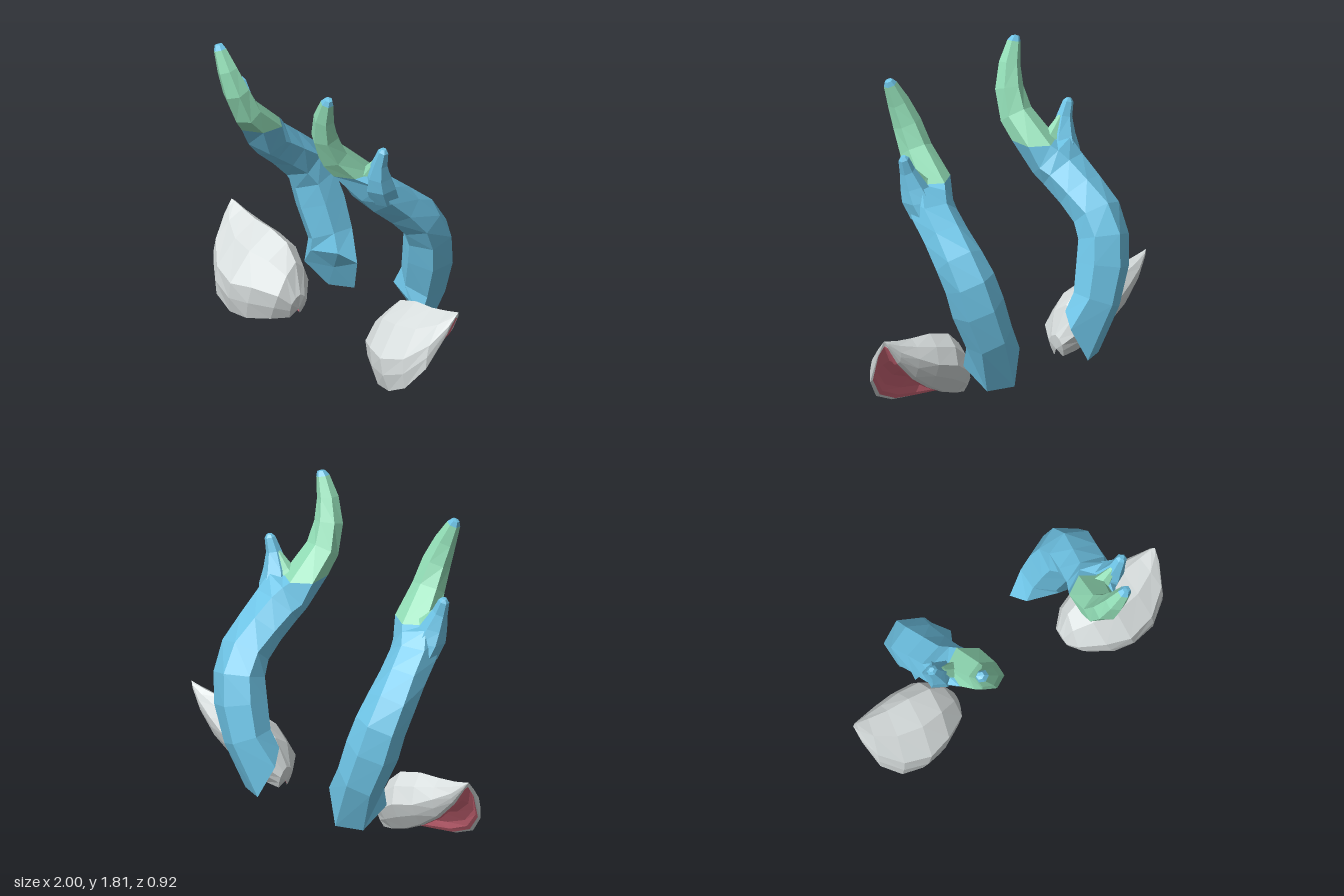
import * as THREE from 'three';

const material = (name, color) => Object.assign(new THREE.MeshStandardMaterial({ color }), { name });
const points = (list) => list.map(p => new THREE.Vector3(...p));

// Flat-shaded skin over a list of equally long cross-sections; side -1 mirrors it across x = 0
function loft(sections, side, closed) {
  const out = [];
  const tri = (a, b, c) => {
    const area = b.clone().sub(a).cross(c.clone().sub(a)).length();
    if (area < 1e-7) return;
    for (const p of side > 0 ? [a, b, c] : [a, c, b]) out.push(p.x * side, p.y, p.z);
  };
  for (let s = 0; s < sections.length - 1; s++) {
    const A = sections[s], B = sections[s + 1], n = A.length;
    for (let i = 0; i < (closed ? n : n - 1); i++) {
      const j = (i + 1) % n;
      tri(A[i], A[j], B[i]);
      tri(A[j], B[j], B[i]);
    }
  }
  const geo = new THREE.BufferGeometry();
  geo.setAttribute('position', new THREE.Float32BufferAttribute(out, 3));
  geo.computeVertexNormals();
  return geo;
}

// Six-sided rings along a path of { p: centre, r: radius, n: optional ring normal, deep: optional stretch }
function rings(path) {
  const centres = path.map(k => new THREE.Vector3(...k.p));
  return path.map((k, i) => {
    const n = k.n ? new THREE.Vector3(...k.n)
      : centres[Math.min(i + 1, path.length - 1)].clone().sub(centres[Math.max(i - 1, 0)]);
    n.normalize();
    const v = new THREE.Vector3(0, 0, -1).addScaledVector(n, n.z).normalize();
    const u = v.clone().cross(n);
    return Array.from({ length: 6 }, (_, j) => {
      const a = (j + 0.5) * Math.PI / 3;
      return centres[i].clone()
        .addScaledVector(u, Math.cos(a) * k.r * 1.12)
        .addScaledVector(v, Math.sin(a) * k.r * (k.deep || 1));
    });
  });
}

const at = (x, y, z, r, n, deep) => ({ p: [x, y, z], r, n, deep });

// Horn base: a slanted, uneven six-cornered end, closed by a cap
const baseLoop = points([
  [0.425, 0.125, -0.33], [0.28, 0.135, -0.4], [0.195, 0.33, -0.35],
  [0.245, 0.4, -0.25], [0.43, 0.37, -0.205], [0.51, 0.27, -0.225],
]);
const baseCap = Array(6).fill(new THREE.Vector3(0.34, 0.27, -0.3));

// Horn: blue stem, green upper prong, blue tip
const collar = at(0.405, 1.27, 0.18, 0.11, [0, 1, 0], 1.24);
const tipRing = at(0.472, 1.775, 0.42, 0.036, [0.3, 0.9, 0.1]);
const stemPath = [
  at(0.41, 0.45, -0.33, 0.13, [0.42, 0.9, 0]),
  at(0.475, 0.64, -0.31, 0.142),
  at(0.51, 0.79, -0.28, 0.136),
  at(0.525, 0.91, -0.205, 0.132, undefined, 0.95),
  at(0.51, 1.015, -0.085, 0.128, undefined, 0.9),
  at(0.49, 1.11, 0.035, 0.132, undefined, 0.86),
  at(0.465, 1.18, 0.1, 0.138, undefined, 0.84),
  collar,
];
const prongPath = [
  collar,
  at(0.382, 1.39, 0.305, 0.09, undefined, 0.92),
  at(0.39, 1.53, 0.37, 0.076),
  at(0.425, 1.66, 0.405, 0.058),
  tipRing,
];
const tipPath = [tipRing, at(0.485, 1.802, 0.42, 0.022, [0.3, 0.9, 0.1]), at(0.487, 1.806, 0.42, 0, [0.3, 0.9, 0.1])];
const branchPath = [
  at(0.525, 1.11, 0.055, 0.09, [0.1, 1, 0.2]),
  at(0.552, 1.2, 0.1, 0.086, [0.1, 1, 0.1], 1.08),
  at(0.572, 1.28, 0.125, 0.066, [0.2, 1, 0.1], 1.08),
  at(0.6, 1.37, 0.14, 0.042),
  at(0.628, 1.45, 0.14, 0.029),
  at(0.632, 1.468, 0.14, 0.014),
  at(0.632, 1.468, 0.14, 0),
];
const webPath = [
  at(0.47, 1.23, 0.14, 0.06),
  at(0.515, 1.28, 0.14, 0.045),
  at(0.565, 1.36, 0.14, 0.022),
  at(0.595, 1.41, 0.14, 0),
];

// Ear sections, root to tip: back rim, back, ridge, front, front rim
const earSections = [
  [[0.38, 0.04, -0.09], [0.35, 0.12, -0.11], [0.345, 0.17, -0.06], [0.35, 0.12, 0], [0.38, 0.03, -0.01]],
  [[0.46, 0.06, -0.11], [0.42, 0.2, -0.18], [0.41, 0.34, -0.08], [0.385, 0.18, 0.07], [0.45, 0.02, 0.07]],
  [[0.56, 0.1, -0.125], [0.54, 0.28, -0.215], [0.5, 0.425, -0.09], [0.52, 0.21, 0.15], [0.58, 0, 0.14]],
  [[0.68, 0.17, -0.14], [0.68, 0.32, -0.21], [0.64, 0.465, -0.09], [0.66, 0.2, 0.19], [0.7, 0.005, 0.16]],
  [[0.8, 0.26, -0.145], [0.8, 0.38, -0.18], [0.78, 0.475, -0.09], [0.82, 0.24, 0.155], [0.83, 0.065, 0.15]],
  [[0.91, 0.38, -0.135], [0.91, 0.44, -0.145], [0.9, 0.495, -0.1], [0.94, 0.34, 0.065], [0.935, 0.2, 0.085]],
  [[0.98, 0.485, -0.115], [0.98, 0.505, -0.115], [0.975, 0.513, -0.1], [0.99, 0.45, -0.04], [0.985, 0.4, -0.03]],
].map(points);

function earSkins() {
  const arcs = earSections.map(s => new THREE.CatmullRomCurve3(s).getPoints(8));
  // The lining sags from the inset rim part of the way toward the shell
  const linings = arcs.map(arc => arc.map((p, i) => arc[0].clone()
    .lerp(arc[8], 0.09 + 0.82 * i / 8)
    .lerp(p, 0.36 * Math.sin(Math.PI * i / 8))));
  const shells = arcs.map((arc, i) => [linings[i][0], ...arc, linings[i][8]]);
  const [root, tip, liningTip] = points([[0.355, 0.08, -0.055], [1, 0.52, -0.1], [0.987, 0.485, -0.09]]);
  return {
    shell: [Array(11).fill(root), ...shells, [liningTip, ...Array(9).fill(tip), liningTip]],
    lining: [Array(9).fill(root), ...linings.map(l => l.slice().reverse()), Array(9).fill(liningTip)],
  };
}

export function createModel() {
  const blue = material('hornBlue', 0x6ec4e6);
  const green = material('hornGreen', 0x91dcb5);
  const grey = material('earGrey', 0xd6dcdc);
  const pink = material('earPink', 0xd46a7b);
  const ear = earSkins();

  const model = new THREE.Group();
  model.name = 'hornsAndEars';
  for (const side of [1, -1]) {
    const label = side > 0 ? 'left' : 'right';
    const horn = new THREE.Group();
    horn.name = label + 'Horn';
    const earGroup = new THREE.Group();
    earGroup.name = label + 'Ear';
    const add = (group, name, sections, mat, closed) => {
      const mesh = new THREE.Mesh(loft(sections, side, closed), mat);
      mesh.name = name;
      group.add(mesh);
    };
    add(horn, 'hornStem', [baseCap, baseLoop, ...rings(stemPath)], blue, true);
    add(horn, 'hornProng', rings(prongPath), green, true);
    add(horn, 'hornTip', rings(tipPath), blue, true);
    add(horn, 'hornBranch', rings(branchPath), blue, true);
    add(horn, 'forkWeb', rings(webPath), green, true);
    add(earGroup, 'earShell', ear.shell, grey, false);
    add(earGroup, 'earLining', ear.lining, pink, false);
    model.add(horn, earGroup);
  }
  return model;
}
